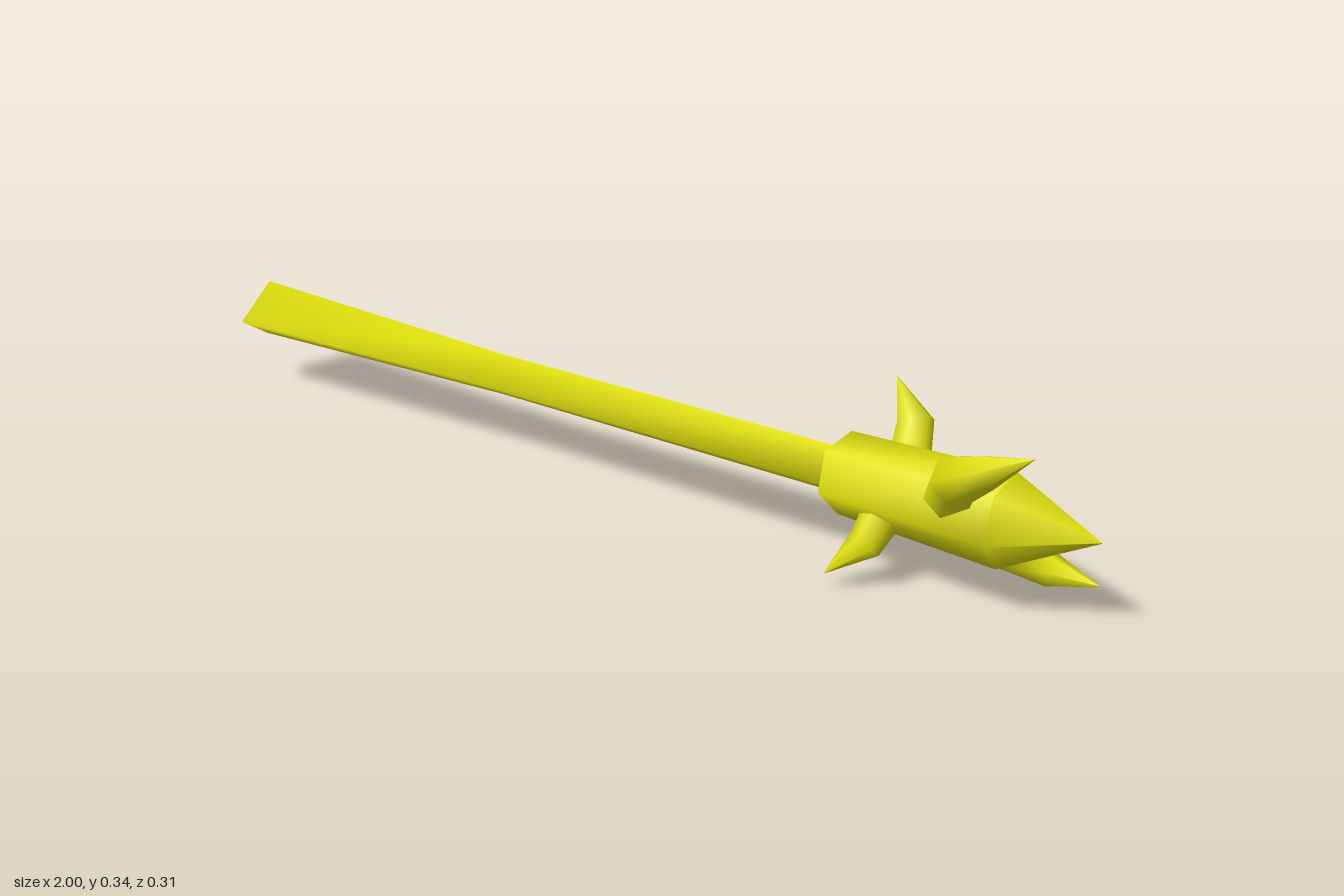
import * as THREE from 'three';

const V = (x, y, z) => new THREE.Vector3(x, y, z);

// Skin a list of equal-sized rings with smooth sides and flat, separate end caps
function skin(rings) {
  const n = rings[0].length, pos = [], index = [];
  const push = (ring) => {
    const start = pos.length / 3;
    ring.forEach((p) => pos.push(p.x, p.y, p.z));
    return start;
  };
  rings.forEach(push);
  for (let i = 0; i < rings.length - 1; i++) {
    for (let j = 0; j < n; j++) {
      const a = i * n + j, b = i * n + (j + 1) % n;
      index.push(a, b, a + n, b, b + n, a + n);
    }
  }
  const s = push(rings[0]), e = push(rings[rings.length - 1]);
  for (let j = 1; j < n - 1; j++) {
    index.push(s, s + j + 1, s + j);
    index.push(e, e + j, e + j + 1);
  }
  const geo = new THREE.BufferGeometry();
  geo.setAttribute('position', new THREE.Float32BufferAttribute(pos, 3));
  geo.setIndex(index);
  geo.computeVertexNormals();
  return geo;
}

// Hexagonal ring facing along x, optionally slanted
function hexRing(x, y, z, r, slant = 0) {
  return Array.from({ length: 6 }, (_, j) => {
    const a = THREE.MathUtils.degToRad(-18 + j * 60);
    const dy = r * Math.cos(a), dz = r * Math.sin(a);
    return V(x - slant * (dz + 0.6 * dy), y + dy, z + dz);
  });
}

// Curved horn: rings square to the path, each step is [x, y, z, radius]
function horn(steps, sides = 6) {
  const pts = steps.map((s) => V(s[0], s[1], s[2]));
  const rings = pts.map((p, i) => {
    const before = pts[Math.max(i - 1, 0)], after = pts[Math.min(i + 1, pts.length - 1)];
    const t = after.clone().sub(before).normalize();
    const side = V(0, 1, 1).multiplyScalar(Math.sign(pts[1].y - 0.17));
    if (pts[1].z * (pts[1].y - 0.17) < 0) side.z *= -1;
    // side lies across the bend plane for every horn
    const u = V(0, side.z, -side.y).addScaledVector(t, -V(0, side.z, -side.y).dot(t)).normalize();
    const v = t.clone().cross(u);
    return Array.from({ length: sides }, (_, j) => {
      const a = (j / sides) * Math.PI * 2;
      return p.clone().addScaledVector(u, steps[i][3] * Math.cos(a)).addScaledVector(v, steps[i][3] * Math.sin(a));
    });
  });
  return skin(rings);
}

export function createModel() {
  const group = new THREE.Group();
  const gold = new THREE.MeshStandardMaterial({ color: 0xe0e00d });
  gold.name = 'yellow';
  const add = (name, geo) => {
    const mesh = new THREE.Mesh(geo, gold);
    mesh.name = name;
    group.add(mesh);
  };

  // Four-sided handle, flared and cut at a slant at the butt
  const section = [[0.066, 0.003], [-0.015, 0.072], [-0.069, -0.014], [0.015, -0.076]];
  const shaft = (x, y, z, k, slant) => section.map(([dy, dz]) => V(x + slant * dy, y + dy * k, z + dz * k));
  add('handle', skin([
    shaft(-0.982, 0.168, 0.01, 1, 0.27),
    shaft(-0.3, 0.17, 0.01, 0.69, 0),
    shaft(0.55, 0.171, 0.006, 0.72, 0),
  ]));

  // Hexagonal collar and pointed head
  add('collar', skin([
    hexRing(0.51, 0.172, 0.01, 0.076, 0.15),
    hexRing(0.83, 0.172, 0.015, 0.086),
  ]));
  add('point', skin([
    hexRing(0.83, 0.172, 0.015, 0.086),
    hexRing(1, 0.178, 0.01, 0.001),
  ]));

  // Large hooks curving forward
  add('upperHook', horn([
    [0.725, 0.18, 0.03, 0.045], [0.77, 0.26, 0.095, 0.046],
    [0.835, 0.3, 0.122, 0.032], [0.908, 0.335, 0.098, 0.001],
  ]));
  add('lowerHook', horn([
    [0.73, 0.15, -0.02, 0.045], [0.785, 0.06, -0.11, 0.046],
    [0.865, 0.028, -0.125, 0.031], [0.965, 0.045, -0.09, 0.001],
  ]));

  // Small spikes swept back
  add('upperSpike', horn([
    [0.62, 0.19, -0.02, 0.04], [0.598, 0.265, -0.08, 0.034], [0.548, 0.332, -0.096, 0.001],
  ]));
  add('lowerSpike', horn([
    [0.615, 0.15, 0.03, 0.04], [0.598, 0.085, 0.08, 0.032], [0.543, 0.027, 0.122, 0.001],
  ]));
  return group;
}
